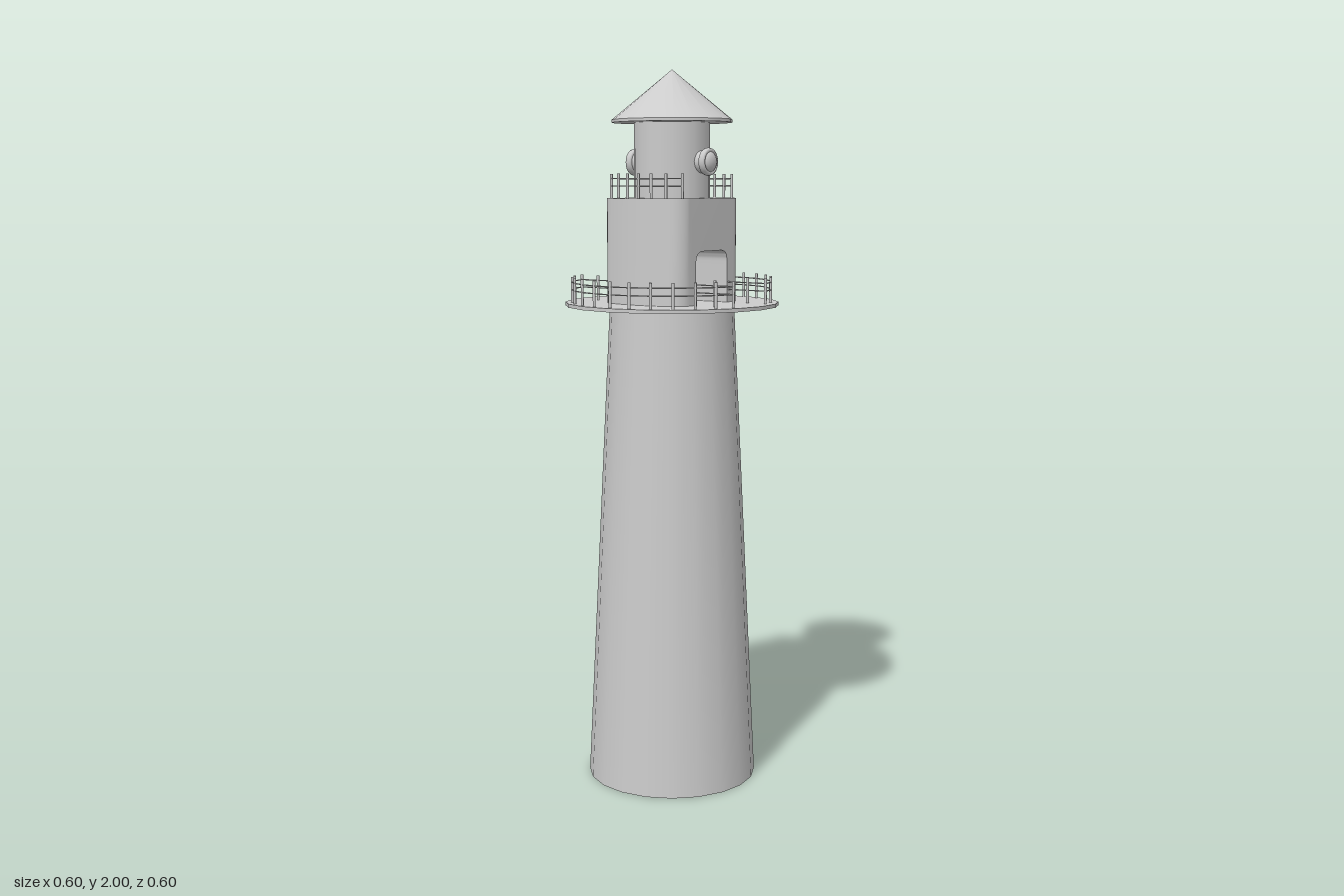
import * as THREE from 'three';
import { toCreasedNormals, mergeGeometries } from 'three/addons/utils/BufferGeometryUtils.js';

const grey = new THREE.MeshStandardMaterial({ color: 0xcccccc });
const SIDES = 20;

function mesh(name, geometry, parent) {
  const m = new THREE.Mesh(geometry, grey);
  m.name = name;
  parent.add(m);
  return m;
}

function drum(rTop, rBottom, y0, y1) {
  return new THREE.CylinderGeometry(rTop, rBottom, y1 - y0, SIDES).translate(0, (y0 + y1) / 2, 0);
}

// Thin rod between two points
function rod(a, b, r, sides = 6) {
  const d = new THREE.Vector3().subVectors(b, a);
  const q = new THREE.Quaternion().setFromUnitVectors(new THREE.Vector3(0, 1, 0), d.clone().normalize());
  const g = new THREE.CylinderGeometry(r, r, d.length(), sides);
  g.applyQuaternion(q);
  return g.translate((a.x + b.x) / 2, (a.y + b.y) / 2, (a.z + b.z) / 2);
}

// Posts at each [x, z] point, joined by two rails
function railing(name, points, y, height, parent, loosePosts = points) {
  const parts = loosePosts.map(([x, z]) =>
    rod(new THREE.Vector3(x, y, z), new THREE.Vector3(x, y + height, z), 0.0042));
  for (const h of [0.5, 0.8]) {
    for (let i = 1; i < points.length; i++) {
      const [a, b] = [points[i - 1], points[i]].map(([x, z]) => new THREE.Vector3(x, y + height * h, z));
      parts.push(rod(a, b, 0.0018, 5));
    }
  }
  return mesh(name, mergeGeometries(parts), parent);
}

// Half width of the watch room at depth z: bowed sides, rounded corners
function halfWidth(z) {
  const u = Math.max(0, (Math.abs(z) - 0.105) / 0.03);
  return 0.167 - 0.025 * (z / 0.12) ** 2 - 0.03 * (1 - Math.sqrt(Math.max(0, 1 - u * u)));
}

// Front elevation with an arched passage, extruded through and bowed outward
function watchRoomGeometry(y0, y1) {
  const w = 0.14, p = 0.075, top = 1.51, r = 0.032;
  const s = new THREE.Shape();
  s.moveTo(-w, y0);
  s.lineTo(-p, y0);
  s.lineTo(-p, top - r);
  s.quadraticCurveTo(-p, top, -p + r, top);
  s.lineTo(p - r, top);
  s.quadraticCurveTo(p, top, p, top - r);
  s.lineTo(p, y0);
  s.lineTo(w, y0);
  s.lineTo(w, y1);
  s.lineTo(-w, y1);
  s.closePath();
  const g = new THREE.ExtrudeGeometry(s, { depth: 2, steps: 24, bevelEnabled: false, curveSegments: 8 });
  const pos = g.attributes.position;
  for (let i = 0; i < pos.count; i++) {
    const z = 0.135 * Math.sin((pos.getZ(i) - 1) * Math.PI / 2);
    const x = pos.getX(i);
    if (Math.abs(x) > 0.1) pos.setX(i, Math.sign(x) * halfWidth(z));
    pos.setZ(i, z);
  }
  return toCreasedNormals(g, 0.6);
}

export function createModel() {
  const model = new THREE.Group();
  model.name = 'lighthouse';

  mesh('tower', drum(0.174, 0.24, 0, 1.357), model);
  mesh('galleryDeck', drum(0.298, 0.298, 1.355, 1.365), model);
  mesh('watchRoom', watchRoomGeometry(1.362, 1.652), model);
  mesh('lanternRoom', drum(0.105, 0.105, 1.65, 1.86), model);

  // Conical roof with a thin eave
  const roof = new THREE.Group();
  roof.name = 'roof';
  roof.scale.x = 0.935;
  mesh('eave', drum(0.17, 0.17, 1.857, 1.865), roof);
  mesh('roofCone', new THREE.ConeGeometry(0.17, 0.135, SIDES, 1, true).translate(0, 1.9325, 0), roof);
  model.add(roof);

  // Portholes front and back
  for (const side of [1, -1]) {
    const porthole = new THREE.Group();
    porthole.name = side > 0 ? 'frontPorthole' : 'backPorthole';
    mesh('portholeFrame', new THREE.TorusGeometry(0.031, 0.007, 8, 24).scale(1, 1, 1.5).translate(0, 0, 0.124), porthole);
    mesh('portholeCollar', new THREE.CylinderGeometry(0.031, 0.031, 0.035, 24).rotateX(Math.PI / 2).translate(0, 0, 0.109), porthole);
    mesh('portholeGlass', new THREE.SphereGeometry(0.029, 20, 12).scale(1, 1, 0.6).translate(0, 0, 0.126), porthole);
    porthole.position.set(-0.003, 1.75, 0);
    porthole.rotation.y = side > 0 ? 0 : Math.PI;
    model.add(porthole);
  }

  // Railings on both sides of the gallery and the watch room roof
  for (const side of [1, -1]) {
    const label = side > 0 ? 'left' : 'right';
    const arc = [];
    const end = 1.275;
    for (let i = 0; i <= 12; i++) {
      const a = -end + (2 * end * i) / 12;
      const r = 0.28 - 0.009 * (a / end) ** 4;
      arc.push([side * r * Math.cos(a), r * Math.sin(a)]);
    }
    const x = side * 0.08;
    const posts = [[x, -0.2], ...arc, [x, 0.2]];
    railing(label + 'GalleryRailing', [[x, -0.134], ...posts, [x, 0.134]], 1.365, 0.07, model, posts);

    const upper = [];
    for (let i = 0; i <= 6; i++) {
      const z = -0.12 + 0.04 * i;
      upper.push([side * (0.154 - 0.036 * (z / 0.12) ** 2), z]);
    }
    railing(label + 'RoofRailing', upper, 1.652, 0.066, model);
  }
  return model;
}
